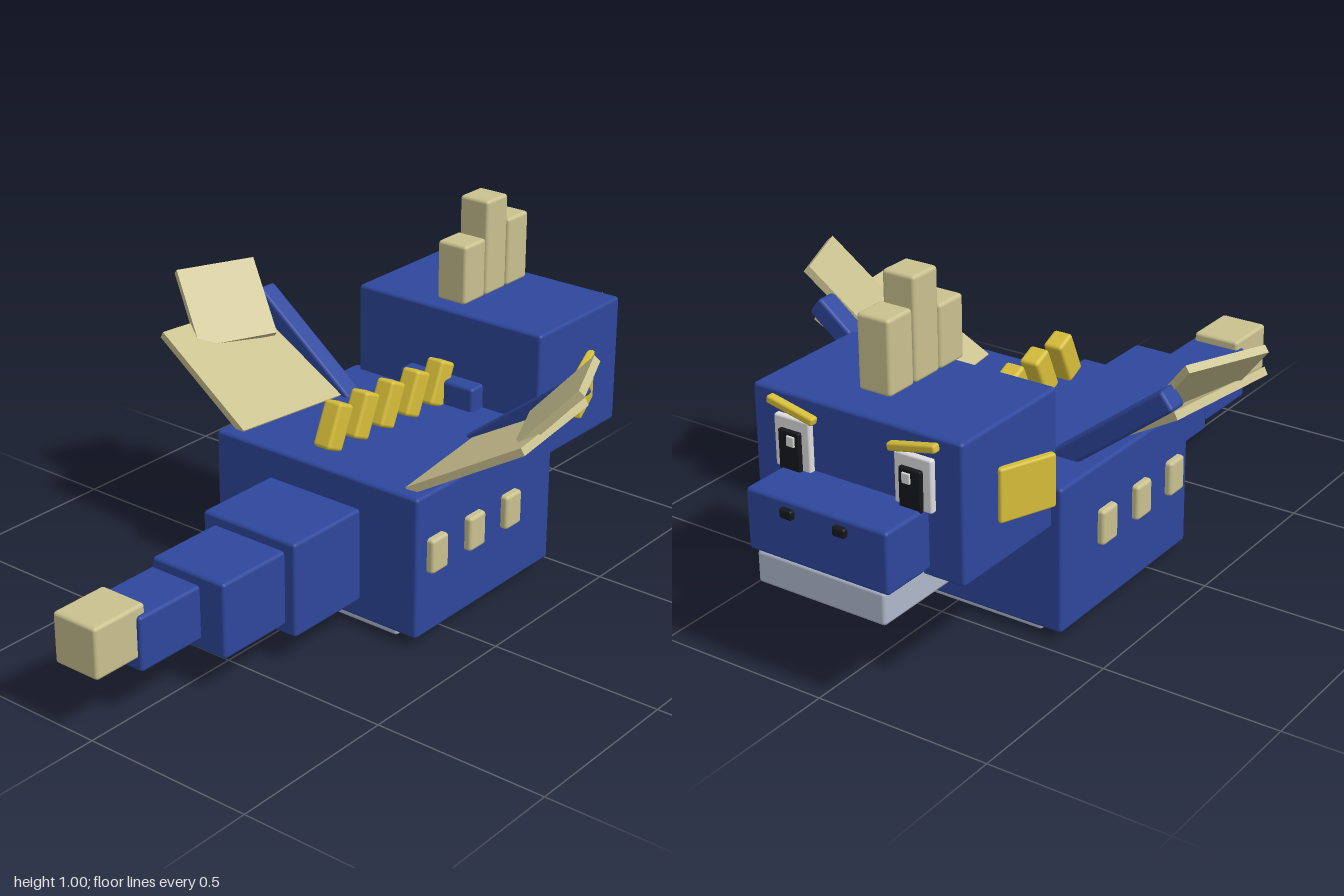
import * as THREE from 'three';
import { RoundedBoxGeometry } from 'three/addons/geometries/RoundedBoxGeometry.js';

const mat = (name, color) => {
  const m = new THREE.MeshStandardMaterial({ color });
  m.name = name;
  return m;
};

export function createModel() {
  const blue = mat('blue hide', 0x2e479c);
  const bone = mat('bone', 0xc9c18f);
  const gold = mat('gold', 0xd6bd3a);
  const grey = mat('pale grey', 0xafb9cc);
  const white = mat('eye white', 0xdddddd);
  const black = mat('black', 0x16181c);

  const model = new THREE.Group();
  model.name = 'blockDragon';

  const add = (name, geometry, material) => {
    const mesh = new THREE.Mesh(geometry, material);
    mesh.name = name;
    model.add(mesh);
    return mesh;
  };
  // Softly bevelled block given by its size and centre
  const block = (name, material, size, centre) => {
    const r = Math.min(0.01, Math.min(...size) * 0.3);
    const mesh = add(name, new RoundedBoxGeometry(...size, 2, r), material);
    mesh.position.set(...centre);
    return mesh;
  };
  // Block given by its extent along each axis
  const span = (name, material, x, y, z) => block(name, material,
    [x[1] - x[0], y[1] - y[0], z[1] - z[0]],
    [(x[0] + x[1]) / 2, (y[0] + y[1]) / 2, (z[0] + z[1]) / 2]);
  // Slanted plate from one corner and its two neighbours, mirrored by side
  const plate = (name, material, side, corner, a, b, thickness) => {
    const [o, p, q] = [corner, a, b].map(v => new THREE.Vector3(v[0] * side, v[1], v[2]));
    const u = p.sub(o), v = q.sub(o);
    const n = u.clone().cross(v).setLength(thickness);
    const middle = o.clone().addScaledVector(u, 0.5).addScaledVector(v, 0.5);
    const m = new THREE.Matrix4().makeBasis(u, v, n).setPosition(middle);
    return add(name, new THREE.BoxGeometry(1, 1, 1).applyMatrix4(m), material);
  };

  // Body and belly
  span('body', blue, [-0.348, 0.346], [0.03, 0.44], [-0.462, 0.148]);
  span('belly', grey, [-0.27, 0.265], [0.002, 0.04], [-0.435, 0.125]);

  // Tail, stepping down to a bone tip
  span('tailBase', blue, [-0.16, 0.156], [0.083, 0.355], [0.14, 0.411]);
  span('tailMiddle', blue, [-0.125, 0.121], [0.11, 0.325], [0.4, 0.642]);
  span('tailEnd', blue, [-0.131, 0.039], [0.14, 0.295], [0.63, 0.855]);
  span('tailTip', bone, [-0.12, 0.026], [0.176, 0.321], [0.822, 0.996]);

  // Neck, head, snout and jaw
  span('neck', blue, [-0.13, 0.127], [0.252, 0.51], [-0.58, -0.385]);
  span('head', blue, [-0.317, 0.315], [0.325, 0.702], [-0.826, -0.435]);
  span('snout', blue, [-0.215, 0.212], [0.345, 0.512], [-0.986, -0.815]);
  span('jaw', grey, [-0.197, 0.193], [0.255, 0.345], [-0.98, -0.69]);

  // Crest of three bone blocks above the head
  [[-0.498, 0.892], [-0.598, 0.997], [-0.7, 0.92]].forEach(([z, top]) =>
    span('crest', bone, [-0.05, 0.047], [0.72, top], [z - 0.048, z + 0.048]));

  // Leaning spikes along the back
  for (let i = 0; i < 5; i++) {
    const spike = block('backSpike', gold, [0.058, 0.13, 0.064], [0, 0.524 - i * 0.006, 0.066 - i * 0.1125]);
    spike.rotation.x = -0.42;
  }

  for (const s of [1, -1]) {
    // Eyes and brows
    block('eye', white, [0.11, 0.14, 0.02], [s * 0.183, 0.575, -0.833]);
    block('pupil', black, [0.065, 0.11, 0.014], [s * 0.183, 0.56, -0.849]);
    block('eyeGlint', white, [0.024, 0.028, 0.008], [s * 0.175, 0.59, -0.857]);
    const brow = block('brow', gold, [0.145, 0.022, 0.025], [s * 0.183, 0.666, -0.838]);
    brow.rotation.z = s * 0.21;
    block('nostril', black, [0.038, 0.026, 0.02], [s * 0.08, 0.48, -0.99]);

    // Flared ears
    const ear = block('ear', gold, [0.022, 0.145, 0.162], [s * 0.347, 0.512, -0.612]);
    ear.rotation.y = s * 0.38;

    // Flank tiles
    for (const z of [0.07, -0.095, -0.26])
      block('flankTile', bone, [0.035, 0.1, 0.07], [s * 0.35, 0.262, z]);

    // Wing: leading arm, inner panel and raised outer panel
    const arm = block('wingArm', blue, [0.42, 0.06, 0.064], [s * 0.385, 0.545, -0.278]);
    arm.rotation.z = s * 0.66;
    plate('wingInner', bone, s, [0.235, 0.435, -0.25], [0.285, 0.435, 0.112], [0.565, 0.63, -0.287], 0.022);
    plate('wingOuter', bone, s, [0.445, 0.585, -0.215], [0.542, 0.585, 0.003], [0.592, 0.76, -0.284], 0.022);
  }

  return model;
}
